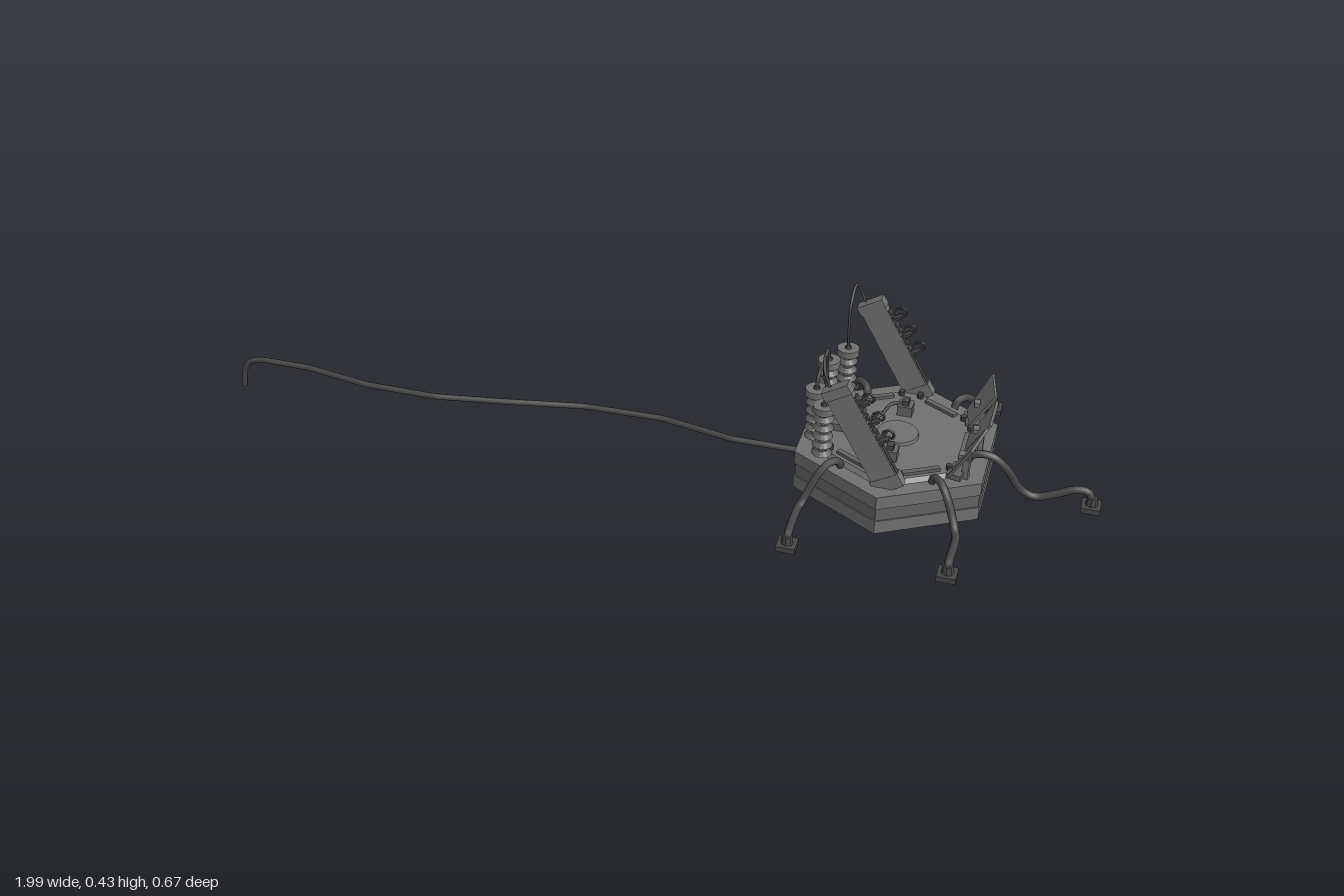
import * as THREE from 'three';

const CX = 0.56; // centre of the station
const paint = (color, flatShading = true) => new THREE.MeshStandardMaterial({ color, flatShading });
const mat = paint(0x707070);
const mid = paint(0x626262);
const dark = paint(0x464646);
const rubber = paint(0x464646, false);

function add(parent, name, geo, x = 0, y = 0, z = 0, m = mat) {
  const mesh = new THREE.Mesh(geo, m);
  mesh.name = name;
  mesh.position.set(x, y, z);
  parent.add(mesh);
  return mesh;
}

function group(parent, name, x = 0, y = 0, z = 0) {
  const g = new THREE.Group();
  g.name = name;
  g.position.set(x, y, z);
  parent.add(g);
  return g;
}

const box = (w, h, d) => new THREE.BoxGeometry(w, h, d);
const cyl = (rt, rb, h, n = 16) => new THREE.CylinderGeometry(rt, rb, h, n);

// round hose through a list of [x, y, z] points, with closed ends; low tension keeps runs straight
function hose(parent, name, pts, r, segs = 40, tension = 0.5) {
  const v = pts.map((p) => new THREE.Vector3(...p));
  const curve = new THREE.CatmullRomCurve3(v, false, tension < 0.5 ? 'catmullrom' : 'centripetal', tension);
  const g = group(parent, name);
  add(g, name + 'Tube', new THREE.TubeGeometry(curve, segs, r, 8), 0, 0, 0, rubber);
  for (const t of [0, 1]) {
    const p = curve.getPointAt(t);
    const cap = add(g, name + 'End', new THREE.CircleGeometry(r, 8), p.x, p.y, p.z, rubber);
    const d = curve.getTangentAt(t).multiplyScalar(t ? 1 : -1);
    cap.quaternion.setFromUnitVectors(new THREE.Vector3(0, 0, 1), d);
  }
}

function foot(parent, x, z) {
  const g = group(parent, 'foot', x, 0, z);
  add(g, 'footPad', box(0.04, 0.012, 0.04), 0, 0.07, 0, dark);
  add(g, 'footSocket', cyl(0.011, 0.013, 0.018, 8), 0, 0.085, 0, dark);
}

// ribbed insulator with a cap
function insulator(parent, x, z) {
  const g = group(parent, 'insulator', x, 0, z);
  add(g, 'insulatorCore', cyl(0.009, 0.011, 0.12), 0, 0.225, 0, mid);
  for (let i = 0; i < 5; i++) {
    add(g, 'insulatorRib', cyl(0.014, 0.022, 0.01), 0, 0.178 + i * 0.021, 0, mid);
  }
  add(g, 'insulatorCap', cyl(0.024, 0.024, 0.015), 0, 0.2825, 0);
  add(g, 'insulatorTerminal', cyl(0.006, 0.008, 0.005, 8), 0, 0.2925, 0, dark);
}

// leaning arm with curled hooks on its outer face
function arm(parent, z) {
  const g = group(parent, 'arm', 0.575, 0.165, z);
  g.rotation.z = 0.525;
  add(g, 'armBeam', box(0.056, 0.25, 0.021), 0, 0.118, 0);
  add(g, 'armHead', box(0.06, 0.022, 0.026), 0, 0.234, 0);
  add(g, 'armSlot', box(0.004, 0.08, 0.01), 0.028, 0.05, 0, dark);
  add(g, 'armFoot', box(0.064, 0.03, 0.023), 0, 0.006, 0);
  for (let i = 0; i < 8; i++) {
    add(g, 'armRung', box(0.006, 0.01, i % 2 ? 0.02 : 0.014), 0.029, 0.095 + i * 0.016, 0, dark);
  }
  for (let i = 0; i < 3; i++) {
    const y = 0.098 + i * 0.045;
    add(g, 'hookStem', box(0.024, 0.005, 0.016), 0.038, y, 0, dark);
    const curl = add(g, 'hookCurl', new THREE.TorusGeometry(0.01, 0.003, 6, 12, Math.PI * 1.4), 0.053, y + 0.009, 0, dark);
    curl.rotation.z = -Math.PI / 2;
    add(g, 'hookKnob', box(0.008, 0.008, 0.016), 0.045, y + 0.014, 0, dark);
  }
}

// tapered plate tilted outwards on a post
function panel(parent, x, z, yaw) {
  const g = group(parent, 'panel', x, 0.175, z);
  g.rotation.y = yaw;
  const s = new THREE.Shape([[-0.034, 0], [0.034, 0], [0.047, 0.098], [-0.047, 0.098]]
    .map((p) => new THREE.Vector2(...p)));
  const geo = new THREE.ExtrudeGeometry(s, { depth: 0.006, bevelEnabled: false });
  geo.rotateY(Math.PI / 2);
  add(g, 'panelPlate', geo).rotation.z = -0.5;
  add(g, 'panelPost', box(0.014, 0.05, 0.012), 0.028, 0.01, 0);
  add(g, 'panelBracket', box(0.022, 0.01, 0.018), 0.022, 0.038, 0);
  add(g, 'panelHinge', box(0.03, 0.012, 0.05), 0.01, -0.005, 0, mid);
}

export function createModel() {
  const model = new THREE.Group();
  model.name = 'groundStation';

  // hexagonal base in three tiers, the middle one darker
  const base = group(model, 'base', CX);
  add(base, 'lowerTier', cyl(0.2265, 0.2265, 0.03, 6), 0, 0.085, 0);
  add(base, 'middleTier', cyl(0.2235, 0.2235, 0.03, 6), 0, 0.115, 0, mid);
  add(base, 'upperTier', cyl(0.2265, 0.2265, 0.03, 6), 0, 0.145, 0);
  add(base, 'deckPlate', cyl(0.18, 0.19, 0.01, 6), 0, 0.164, 0);
  add(base, 'hatch', cyl(0.043, 0.045, 0.008, 24), 0, 0.172, 0);
  for (let i = 0; i < 6; i++) {
    // raised edge strips and bolts, one set per side
    const side = group(base, 'deckSide', 0, 0.172, 0);
    side.rotation.y = (i * Math.PI) / 3;
    add(side, 'edgeStrip', box(0.012, 0.008, 0.08), 0.142, 0, 0, mid);
    for (const s of [-1, 1]) {
      add(side, 'bolt', cyl(0.007, 0.007, 0.016, 8), 0.145, 0, s * 0.06, dark);
    }
  }

  // legs, mirrored to four corners
  for (const sx of [-1, 1]) {
    for (const sz of [-1, 1]) {
      const path = [[0.163, 0.085, 0.315], [0.163, 0.096, 0.312], [0.163, 0.1, 0.302], [0.163, 0.1, 0.225],
        [0.158, 0.107, 0.212], [0.15, 0.125, 0.2], [0.13, 0.168, 0.182], [0.115, 0.182, 0.165],
        [0.1, 0.18, 0.15], [0.095, 0.165, 0.142]]
        .map(([x, y, z]) => [0.5625 + sx * x, y, sz * z]);
      hose(model, 'leg', path, 0.0085);
      foot(model, 0.5625 + sx * 0.163, sz * 0.315);
    }
  }

  // fifth leg, reaching out to the side
  hose(model, 'longLeg', [[0.715, 0.165, 0.045], [0.73, 0.183, 0.045], [0.765, 0.182, 0.043],
    [0.795, 0.155, 0.037], [0.83, 0.095, 0.018], [0.86, 0.08, 0.012], [0.9, 0.092, 0.008],
    [0.94, 0.108, 0.003], [0.966, 0.105, 0], [0.975, 0.085, 0]], 0.0085, 50);
  foot(model, 0.975, 0);

  // trailing cable
  hose(model, 'trailingCable', [[0.38, 0.086, 0], [0.2, 0.085, 0], [0.03, 0.083, -0.035],
    [-0.15, 0.08, -0.035], [-0.33, 0.08, 0], [-0.49, 0.08, 0.027], [-0.66, 0.08, 0.027],
    [-0.82, 0.08, 0], [-0.93, 0.08, 0], [-0.955, 0.077, 0], [-0.975, 0.065, 0], [-0.988, 0.043, 0],
    [-0.993, 0, 0]], 0.007, 120, 0.05);

  // arms, insulators and their wires
  for (const s of [-1, 1]) {
    arm(model, s * 0.178);
    insulator(model, 0.422, s * 0.118);
    insulator(model, 0.393, s * 0.06);
    hose(model, 'armWire', [[0.442, 0.375, s * 0.178], [0.43, 0.405, s * 0.176], [0.424, 0.424, s * 0.158],
      [0.422, 0.41, s * 0.128], [0.422, 0.385, s * 0.112], [0.422, 0.33, s * 0.111], [0.422, 0.29, s * 0.116]], 0.003);
    // deck connectors
    const c = group(model, 'connector', CX, 0.18, s * 0.088);
    add(c, 'connectorBlock', box(0.032, 0.024, 0.032), 0, 0, 0, mid);
    add(c, 'connectorPlug', box(0.014, 0.014, 0.02), 0, 0.016, 0, dark);
  }
  hose(model, 'deckWireOne', [[0.393, 0.29, 0.06], [0.393, 0.312, 0.052], [0.394, 0.323, 0.02],
    [0.396, 0.31, 0.002], [0.41, 0.24, -0.004], [0.43, 0.19, -0.003], [0.48, 0.18, -0.01],
    [0.515, 0.182, -0.045], [0.53, 0.19, -0.08], [0.56, 0.192, -0.088]], 0.004, 60);
  hose(model, 'deckWireTwo', [[0.393, 0.29, -0.06], [0.393, 0.312, -0.052], [0.394, 0.33, -0.025],
    [0.396, 0.315, -0.002], [0.4, 0.27, 0.002], [0.425, 0.2, 0], [0.44, 0.172, 0]], 0.004, 50);
  add(model, 'wireJunction', box(0.035, 0.02, 0.05), 0.43, 0.175, 0, mid);

  // three tilted panels
  for (const s of [-1, 0, 1]) panel(model, s ? 0.692 : 0.705, s * 0.097, -s * 0.2);

  return model;
}
